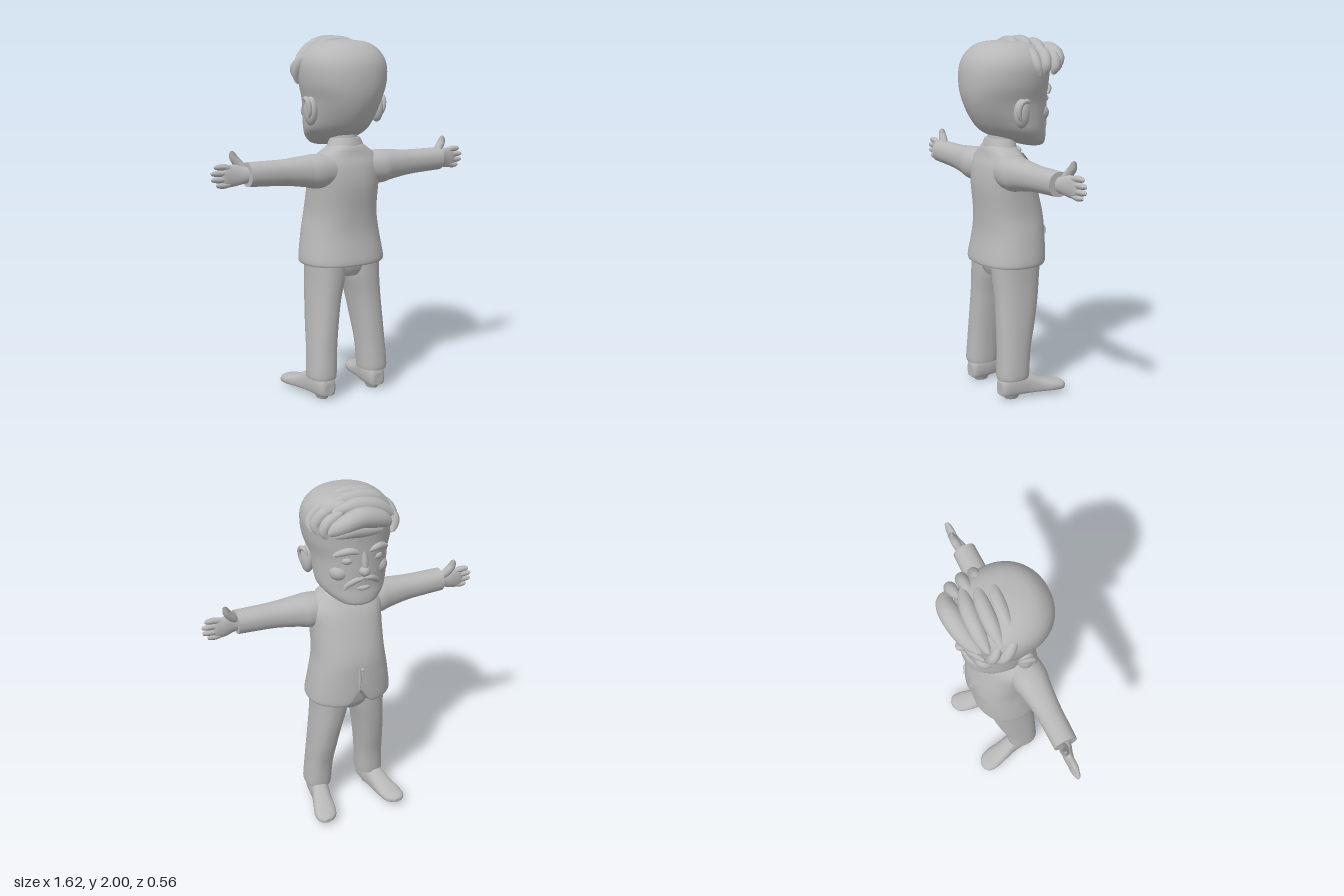
import * as THREE from 'three';

const grey = new THREE.MeshStandardMaterial({ color: 0xb8b8b8, side: THREE.DoubleSide });
grey.name = 'clay grey';

// Smooth interpolation through rows of numbers, f in 0..1
function sample(rows, f) {
  const s = f * (rows.length - 1), i = Math.min(Math.floor(s), rows.length - 2), t = s - i;
  const r = k => rows[Math.max(0, Math.min(rows.length - 1, k))];
  return rows[0].map((_, c) => {
    const a = r(i - 1)[c], b = r(i)[c], d = r(i + 1)[c], e = r(i + 2)[c];
    return b + 0.5 * t * (d - a + t * (2 * a - 5 * b + 4 * d - e + t * (3 * (b - d) + e - a)));
  });
}

// Rows are [height, centre x, centre z, radius x, radius z, narrowing toward +z]
function loft(rows, { n = 2, seg = 40, steps = 5, warp } = {}) {
  const pos = [], idx = [], count = (rows.length - 1) * steps;
  const ring = f => {
    const [y, cx, cz, rx, rz, k = 0] = sample(rows, f);
    for (let j = 0; j < seg; j++) {
      const a = j / seg * Math.PI * 2, c = Math.cos(a), s = Math.sin(a);
      const p = v => Math.sign(v) * Math.abs(v) ** (2 / n);
      const v = new THREE.Vector3(cx + Math.max(rx, 0.001) * p(c) * (1 - k * Math.max(0, s)), y, cz + Math.max(rz, 0.001) * p(s));
      if (warp) warp(v);
      pos.push(v.x, v.y, v.z);
    }
  };
  for (let i = 0; i <= count; i++) ring(i / count);
  for (let i = 0; i < count; i++) for (let j = 0; j < seg; j++) {
    const a = i * seg + j, b = i * seg + (j + 1) % seg;
    idx.push(a, a + seg, b, b, a + seg, b + seg);
  }
  // End caps with their own vertices keep the hems crisp
  for (const f of [0, 1]) {
    const start = pos.length / 3;
    ring(f);
    const [y, cx, cz] = sample(rows, f);
    const m = new THREE.Vector3(cx, y, cz);
    if (warp) warp(m);
    pos.push(m.x, m.y, m.z);
    for (let j = 0; j < seg; j++) {
      const a = start + j, b = start + (j + 1) % seg;
      idx.push(start + seg, f ? b : a, f ? a : b);
    }
  }
  const g = new THREE.BufferGeometry();
  g.setAttribute('position', new THREE.Float32BufferAttribute(pos, 3));
  g.setIndex(idx);
  g.computeVertexNormals();
  return g;
}

// Rounded lock, finger or ridge along a curve
function strand(points, r, power = 0.45) {
  const curve = new THREE.CatmullRomCurve3(points.map(p => new THREE.Vector3(...p)));
  const T = 24, R = 14, g = new THREE.TubeGeometry(curve, T, r, R), p = g.attributes.position, v = new THREE.Vector3();
  for (let i = 0; i <= T; i++) {
    const c = curve.getPointAt(i / T), k = Math.max(0.01, Math.sin(Math.PI * i / T)) ** power;
    for (let j = 0; j <= R; j++) {
      const q = i * (R + 1) + j;
      v.fromBufferAttribute(p, q).sub(c).multiplyScalar(k).add(c);
      p.setXYZ(q, v.x, v.y, v.z);
    }
  }
  return g;
}

const ball = (x, y, z, rx, ry, rz) => new THREE.SphereGeometry(1, 24, 16).scale(rx, ry, rz).translate(x, y, z);

function mirrored(g) {
  const m = g.clone().scale(-1, 1, 1), ix = m.index;
  for (let i = 0; i < ix.count; i += 3) {
    const b = ix.getX(i + 1);
    ix.setX(i + 1, ix.getX(i + 2));
    ix.setX(i + 2, b);
  }
  const nrm = m.attributes.normal, src = g.attributes.normal;
  for (let i = 0; i < nrm.count; i++) nrm.setXYZ(i, -src.getX(i), src.getY(i), src.getZ(i));
  return m;
}

const jacketRows = [
  [0.76, 0, 0.022, 0.238, 0.188], [0.79, 0, 0.02, 0.243, 0.193], [0.93, 0, 0.008, 0.222, 0.181],
  [1.05, 0, 0.012, 0.203, 0.177], [1.2, 0, 0.04, 0.203, 0.16], [1.3, 0, 0.055, 0.208, 0.135],
  [1.36, 0, 0.065, 0.175, 0.105], [1.4, 0, 0.07, 0.12, 0.09], [1.42, 0, 0.07, 0.09, 0.08]];

// Depth of the jacket's chest side at a given x and y
function chestZ(x, y) {
  let lo = 0, hi = 1;
  for (let i = 0; i < 24; i++) {
    const m = (lo + hi) / 2;
    if (sample(jacketRows, m)[0] < y) lo = m; else hi = m;
  }
  const [, , cz, rx, rz] = sample(jacketRows, lo);
  return cz - rz * Math.max(0, 1 - Math.min(1, Math.abs(x) / rx) ** 2.3) ** (1 / 2.3);
}

// Cloth panel laid over the chest; edge(v) gives [x0, x1, y]
function panel(edge, off) {
  const g = new THREE.PlaneGeometry(1, 1, 8, 20), p = g.attributes.position;
  for (let i = 0; i < p.count; i++) {
    const u = p.getX(i) + 0.5, [x0, x1, y] = edge(0.5 - p.getY(i)), x = x0 + (x1 - x0) * u;
    p.setXYZ(i, x, y, chestZ(x, y) - off);
  }
  g.computeVertexNormals();
  for (let i = 0; i < p.count; i++) if (g.attributes.normal.getZ(i) > 0) { flip(g); break; }
  return g;
}
function flip(g) {
  g.index.array.reverse();
  g.computeVertexNormals();
}

export function createModel() {
  const model = new THREE.Group();
  model.name = 'suitedFigure';
  const add = (name, g) => {
    const m = new THREE.Mesh(g, grey);
    m.name = name;
    model.add(m);
  };
  const pair = (name, g) => { add(name + 'Left', g); add(name + 'Right', mirrored(g)); };

  // Head, narrowing toward the nape
  add('head', loft([
    [1.395, 0, -0.155, 0.03, 0.02, 0], [1.41, 0, -0.13, 0.095, 0.068, 0], [1.45, 0, -0.065, 0.155, 0.135, 0.3],
    [1.5, 0, -0.01, 0.19, 0.185, 0.4], [1.57, 0, 0.015, 0.2, 0.215, 0.25], [1.66, 0, 0.033, 0.21, 0.235, 0.1],
    [1.75, 0, 0.037, 0.232, 0.243, 0.02], [1.85, 0, 0.03, 0.235, 0.24, 0], [1.92, 0, 0.03, 0.2, 0.2, 0],
    [1.965, 0, 0.035, 0.13, 0.13, 0], [1.98, 0, 0.035, 0.02, 0.02, 0]], { n: 2.15, seg: 56 }));
  add('neck', loft([[1.36, 0, 0.06, 0.085, 0.08], [1.43, 0, 0.055, 0.075, 0.075], [1.52, 0, 0.04, 0.08, 0.08]]));
  pair('ear', ball(0.212, 1.605, 0.055, 0.034, 0.078, 0.046));
  pair('earRim', strand([[0.225, 1.54, 0.04], [0.235, 1.6, 0.085], [0.242, 1.66, 0.075], [0.235, 1.67, 0.03], [0.225, 1.63, 0.015]], 0.014));

  // Face
  add('nose', ball(0, 1.605, -0.202, 0.03, 0.03, 0.034));
  add('noseBridge', strand([[0, 1.72, -0.195], [0, 1.66, -0.207], [0, 1.6, -0.21]], 0.018));
  pair('eye', ball(0.08, 1.665, -0.165, 0.036, 0.024, 0.032));
  pair('brow', strand([[0.02, 1.705, -0.195], [0.08, 1.725, -0.195], [0.155, 1.695, -0.15]], 0.02));
  pair('cheek', ball(0.105, 1.59, -0.115, 0.06, 0.055, 0.065));
  pair('moustache', strand([[0, 1.56, -0.2], [0.045, 1.553, -0.193], [0.09, 1.515, -0.168], [0.095, 1.48, -0.16]], 0.017));
  add('lowerLip', strand([[-0.055, 1.505, -0.175], [0, 1.503, -0.193], [0.055, 1.505, -0.175]], 0.014));
  add('chin', ball(0, 1.44, -0.14, 0.085, 0.042, 0.058));

  // Swept hair: broad locks, front quiff and curls
  const locks = [
    [[[-0.19, 1.88, 0.0], [-0.1, 1.945, -0.01], [0.02, 1.962, 0], [0.12, 1.93, 0.02]], 0.038],
    [[[-0.2, 1.87, -0.07], [-0.1, 1.945, -0.08], [0.02, 1.96, -0.075], [0.13, 1.925, -0.05]], 0.042],
    [[[-0.19, 1.86, -0.14], [-0.09, 1.925, -0.15], [0.03, 1.945, -0.145], [0.15, 1.91, -0.12]], 0.044],
    [[[-0.16, 1.83, -0.17], [-0.08, 1.88, -0.205], [0.04, 1.91, -0.225], [0.13, 1.88, -0.22], [0.19, 1.83, -0.17]], 0.055],
    [[[-0.1, 1.82, -0.2], [0.02, 1.845, -0.228], [0.11, 1.85, -0.235], [0.17, 1.82, -0.2]], 0.036],
    [[[0.09, 1.93, -0.09], [0.18, 1.91, -0.1], [0.222, 1.85, -0.09], [0.2, 1.8, -0.1]], 0.034],
    [[[0.1, 1.92, -0.15], [0.18, 1.89, -0.165], [0.205, 1.84, -0.16], [0.18, 1.8, -0.16]], 0.032],
    [[[0.11, 1.93, -0.03], [0.18, 1.91, -0.03], [0.228, 1.85, -0.03], [0.228, 1.8, -0.05]], 0.03],
    [[[-0.16, 1.91, 0.02], [-0.21, 1.87, -0.03], [-0.222, 1.81, -0.07], [-0.2, 1.74, -0.1]], 0.03],
    [[[-0.18, 1.88, -0.08], [-0.205, 1.83, -0.12], [-0.185, 1.76, -0.14]], 0.028]];
  locks.forEach(([path, r], i) => add('hairLock' + (i + 1), strand(path, r)));

  // Jacket with its hem cut away in the middle of the chest side
  add('jacket', loft(jacketRows, {
    n: 2.3, seg: 72, warp: v => {
      if (v.z < -0.05 && v.y < 0.93) v.y += 0.09 * Math.exp(-((v.x / 0.04) ** 2)) * (0.93 - v.y) / 0.17;
    } }));
  add('collar', loft([[1.36, 0, 0.065, 0.125, 0.095], [1.41, 0, 0.065, 0.105, 0.09], [1.455, 0, 0.062, 0.082, 0.082]]));
  pair('lapel', panel(v => [0.005 + 0.05 * (1 - v), 0.012 + 0.085 * (1 - v) + 0.06 * Math.sin(Math.PI * Math.sqrt(v)), 1.37 - 0.37 * v], 0.012));
  pair('pocketFlap', panel(v => [0.085, 0.17, 0.955 - 0.045 * v], 0.009));
  add('tie', panel(v => [-0.014 - 0.012 * v, 0.014 + 0.012 * v, 1.36 - 0.28 * v], 0.007));
  add('tieKnot', ball(0, 1.365, -0.045, 0.022, 0.024, 0.018));
  pair('shirtCollarWing', ball(0.04, 1.385, -0.028, 0.034, 0.02, 0.015).rotateZ(0));
  add('jacketEdge', strand([1.0, 0.95, 0.9, 0.86].map(y => [0.008, y, chestZ(0, y)]), 0.008));
  add('button', ball(-0.012, 0.985, chestZ(0, 0.985), 0.011, 0.011, 0.008));

  // Sleeves and hands
  const along = g => g.rotateZ(-Math.PI / 2);
  pair('sleeve', along(loft([
    [0.08, -1.285, 0.085, 0.08, 0.085], [0.2, -1.283, 0.085, 0.093, 0.098], [0.28, -1.288, 0.087, 0.083, 0.085],
    [0.4, -1.292, 0.09, 0.07, 0.07], [0.52, -1.295, 0.09, 0.066, 0.066], [0.615, -1.297, 0.09, 0.064, 0.064]], { n: 2.2 })));
  pair('palm', along(loft([
    [0.58, -1.295, 0.09, 0.04, 0.038], [0.63, -1.295, 0.083, 0.045, 0.032], [0.68, -1.296, 0.072, 0.057, 0.026],
    [0.73, -1.292, 0.07, 0.055, 0.02], [0.75, -1.29, 0.07, 0.035, 0.012]], { seg: 24 })));
  pair('thumb', strand([[0.61, 1.305, 0.08], [0.645, 1.35, 0.06], [0.672, 1.385, 0.052], [0.682, 1.42, 0.05]], 0.024, 0.35));
  [[1.343, 0.79], [1.311, 0.808], [1.279, 0.806], [1.249, 0.78]].forEach(([y, end], i) =>
    pair('finger' + (i + 1), strand([[0.68, 1.295 + (y - 1.295) * 0.75, 0.072], [0.74, y, 0.07], [end, y, 0.068]], 0.0175, 0.3)));

  // Trousers
  add('trouserSeat', loft([[0.69, 0, 0.03, 0.1, 0.11], [0.74, 0, 0.025, 0.19, 0.135], [0.82, 0, 0.02, 0.205, 0.15]]));
  pair('trouserLeg', loft([
    [0.12, 0.168, 0.083, 0.076, 0.09], [0.15, 0.168, 0.082, 0.079, 0.094], [0.28, 0.16, 0.072, 0.078, 0.098],
    [0.42, 0.147, 0.053, 0.081, 0.113], [0.56, 0.131, 0.037, 0.087, 0.126], [0.68, 0.113, 0.03, 0.098, 0.137],
    [0.8, 0.105, 0.025, 0.104, 0.145]], { n: 2.3 }));

  // Shoes, toes turned out
  pair('shoe', loft([
    [-0.165, 0.165, 0.065, 0.03, 0.035], [-0.145, 0.166, 0.07, 0.05, 0.07], [-0.06, 0.172, 0.075, 0.056, 0.08],
    [0.0, 0.182, 0.07, 0.055, 0.075], [0.07, 0.198, 0.055, 0.06, 0.05], [0.14, 0.213, 0.047, 0.066, 0.036],
    [0.195, 0.222, 0.042, 0.055, 0.028], [0.222, 0.226, 0.04, 0.02, 0.012]],
    { n: 2.3, warp: v => { v.z = Math.max(v.z, 0.028); } }).rotateX(-Math.PI / 2));
  pair('heel', new THREE.CylinderGeometry(0.045, 0.03, 0.035, 20).scale(1, 1, 1.3).translate(0.168, 0.0175, 0.09));
  return model;
}
